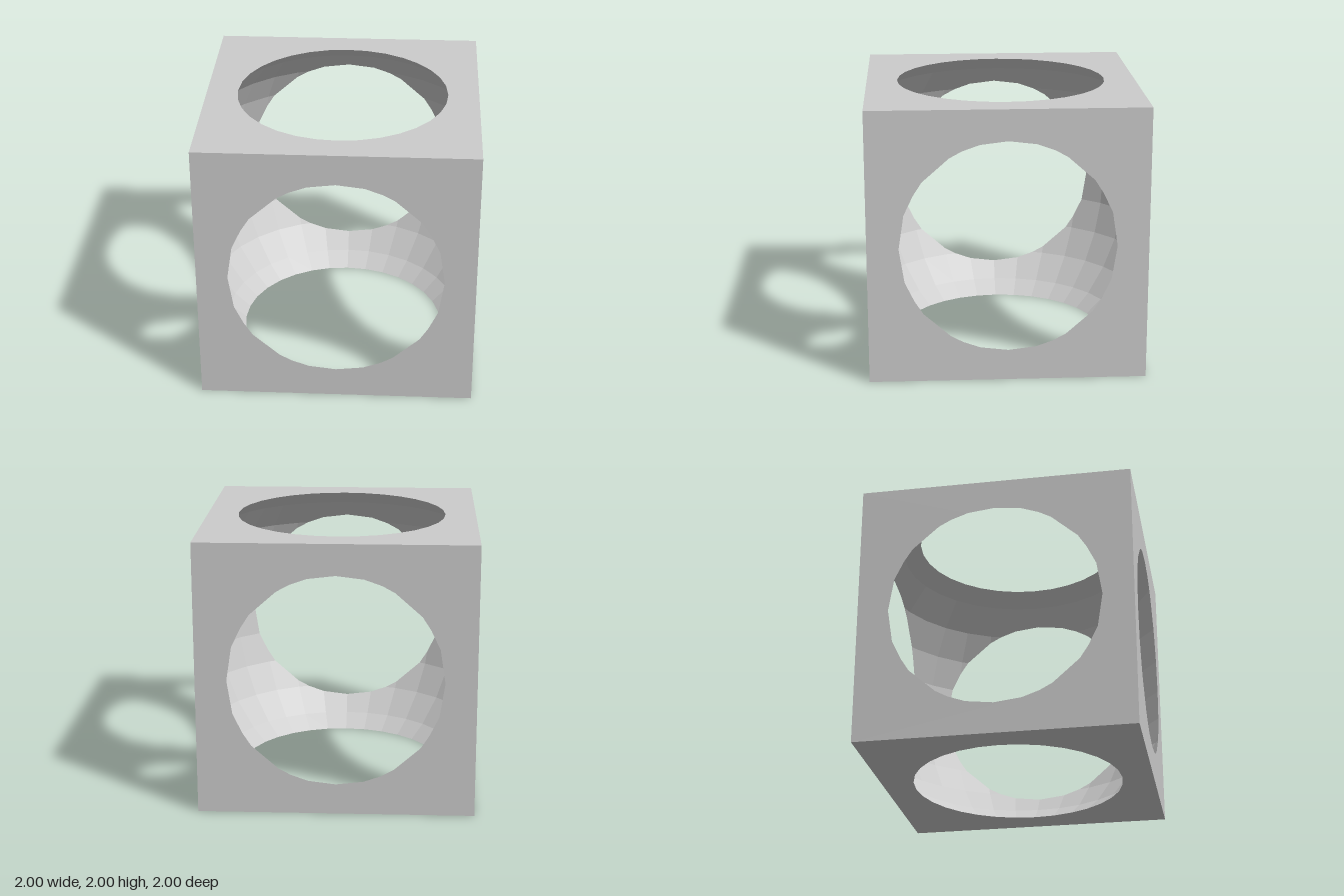
import * as THREE from 'three';

const RADIUS = 1.27; // spherical hollow, wider than the cube's faces
const STEP = Math.PI / 16; // 32 segments, 16 rings
const AXES = [new THREE.Vector3(1, 0, 0), new THREE.Vector3(0, 1, 0), new THREE.Vector3(0, 0, 1)];
const SIDES = [0, 1, 2].flatMap((axis) => [1, -1].map((sign) => ({ axis, sign })));

const spherePoint = (ring, seg) => new THREE.Vector3(
  Math.cos(ring * STEP) * Math.sin(seg * STEP),
  Math.sin(ring * STEP),
  Math.cos(ring * STEP) * Math.cos(seg * STEP)
).multiplyScalar(RADIUS);

// Keep the part of a polygon on the inner side of one cube face
function clip(poly, { axis, sign }) {
  const out = [];
  poly.forEach((a, i) => {
    const b = poly[(i + 1) % poly.length];
    const da = 1 - sign * a.getComponent(axis);
    const db = 1 - sign * b.getComponent(axis);
    if (da >= 0) out.push(a);
    if (da * db < 0) out.push(a.clone().lerp(b, da / (da - db)));
  });
  return out;
}

// Sphere facets, wound to face inwards and trimmed to the cube
function hollowFacets() {
  const facets = [];
  for (let r = -8; r < 8; r++) {
    for (let s = 0; s < 32; s++) {
      const quad = [spherePoint(r, s), spherePoint(r + 1, s), spherePoint(r + 1, s + 1), spherePoint(r, s + 1)];
      const poly = SIDES.reduce(clip, quad);
      if (poly.length > 2) facets.push(poly);
    }
  }
  return facets;
}

// Square cube face whose hole follows the trimmed facets
function faceGeometry(facets, { axis, sign }) {
  let u = (axis + 1) % 3, v = (axis + 2) % 3;
  if (sign < 0) [u, v] = [v, u];
  const rim = new Map();
  for (const p of facets.flat()) {
    if (Math.abs(p.getComponent(axis) - sign) > 1e-6) continue;
    const q = new THREE.Vector2(p.getComponent(u), p.getComponent(v));
    rim.set(`${Math.round(q.x * 1e4)},${Math.round(q.y * 1e4)}`, q);
  }
  const hole = [...rim.values()].sort((a, b) => Math.atan2(a.y, a.x) - Math.atan2(b.y, b.x));
  const shape = new THREE.Shape([[-1, -1], [1, -1], [1, 1], [-1, 1]].map(([x, y]) => new THREE.Vector2(x, y)));
  shape.holes.push(new THREE.Path(hole));
  const normal = AXES[axis].clone().multiplyScalar(sign);
  const place = new THREE.Matrix4().makeBasis(AXES[u], AXES[v], normal).setPosition(normal);
  return new THREE.ShapeGeometry(shape).applyMatrix4(place);
}

export function createModel() {
  const model = new THREE.Group();
  model.name = 'hollowCube';
  const material = new THREE.MeshStandardMaterial({ color: 0xcccccc, flatShading: true });
  const facets = hollowFacets();

  const add = (name, geometry) => {
    const mesh = new THREE.Mesh(geometry, material);
    mesh.name = name;
    mesh.position.y = 1;
    model.add(mesh);
  };

  // Six pierced faces
  const names = ['leftFace', 'rightFace', 'topFace', 'bottomFace', 'frontFace', 'backFace'];
  SIDES.forEach((side, i) => add(names[i], faceGeometry(facets, side)));

  // Faceted inner wall
  const points = [];
  for (const poly of facets) {
    for (let i = 1; i < poly.length - 1; i++) points.push(poly[0], poly[i], poly[i + 1]);
  }
  const wall = new THREE.BufferGeometry().setFromPoints(points);
  wall.computeVertexNormals();
  add('sphericalInnerWall', wall);

  return model;
}
